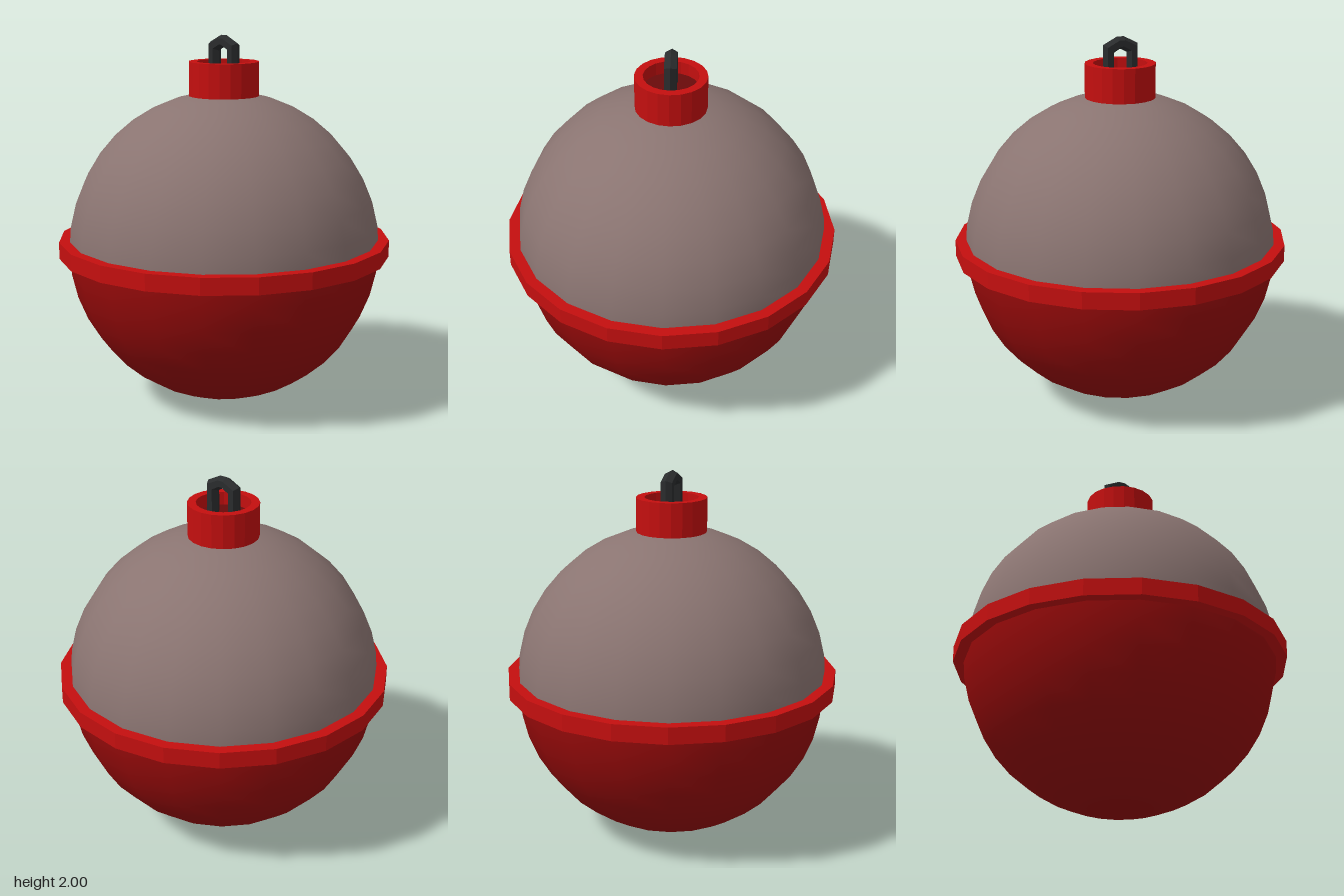
import * as THREE from 'three';

const SIDES = 20;
const RADIUS = 0.85;

function part(name, geometry, color, flatShading = false) {
  const mesh = new THREE.Mesh(geometry, new THREE.MeshStandardMaterial({ color, flatShading }));
  mesh.name = name;
  return mesh;
}

const lathe = (points) =>
  new THREE.LatheGeometry(points.map(([r, y]) => new THREE.Vector2(r, y)), SIDES);

// Half of the ball, split at the equator
function hemisphere(start) {
  return new THREE.SphereGeometry(RADIUS, SIDES, SIDES / 2, 0, Math.PI * 2, start, Math.PI / 2)
    .translate(0, RADIUS, 0);
}

// Hexagonal bar swept between an outer and an inner outline in the zy plane
function hookGeometry() {
  const outer = [[0.1, 1.78], [0.1, 1.96], [0.02, 2.0]];
  const inner = [[0.037, 1.78], [0.037, 1.915], [0.005, 1.933]];
  const mirrored = (list) => [...list, ...list.slice().reverse().map(([z, y]) => [-z, y])];
  const o = mirrored(outer), n = mirrored(inner);
  const positions = [], indices = [];
  o.forEach(([oz, oy], i) => {
    for (let k = 0; k < 6; k++) {
      const a = (k / 6) * Math.PI * 2;
      const t = 0.5 + 0.5 * Math.cos(a);
      positions.push(0.037 * Math.sin(a),
        THREE.MathUtils.lerp(n[i][1], oy, t), THREE.MathUtils.lerp(n[i][0], oz, t));
      if (i === 0) continue;
      const p = (i - 1) * 6 + k, q = (i - 1) * 6 + (k + 1) % 6;
      indices.push(p, p + 6, q, q, p + 6, q + 6);
    }
  });
  const geometry = new THREE.BufferGeometry();
  geometry.setAttribute('position', new THREE.Float32BufferAttribute(positions, 3));
  geometry.setIndex(indices);
  geometry.computeVertexNormals();
  return geometry;
}

export function createModel() {
  const group = new THREE.Group();
  group.name = 'fishingFloat';
  const red = 0xc40f0f;

  // Two-tone ball
  group.add(part('upperShell', hemisphere(0), 0x8a7471));
  group.add(part('lowerShell', hemisphere(Math.PI / 2), 0x980a0a));

  // Raised band around the equator
  group.add(part('equatorBand', lathe([
    [0.8, 0.81], [0.905, 0.81], [0.905, 0.9], [0.8, 0.9], [0.8, 0.81],
  ]), red, true));

  // Button collar with a recessed floor
  group.add(part('buttonCollar', lathe([
    [0.19, 1.64], [0.19, 1.86], [0.145, 1.86], [0.145, 1.79],
  ]), red, true));
  const floor = part('buttonFloor', new THREE.CircleGeometry(0.145, SIDES), 0x6a0a0a, true);
  floor.rotation.x = -Math.PI / 2;
  floor.position.y = 1.79;
  group.add(floor);

  // Line hook rising out of the button
  const hook = part('lineHook', hookGeometry(), 0x2a2c2d, true);
  hook.material.side = THREE.DoubleSide;
  group.add(hook);

  return group;
}
